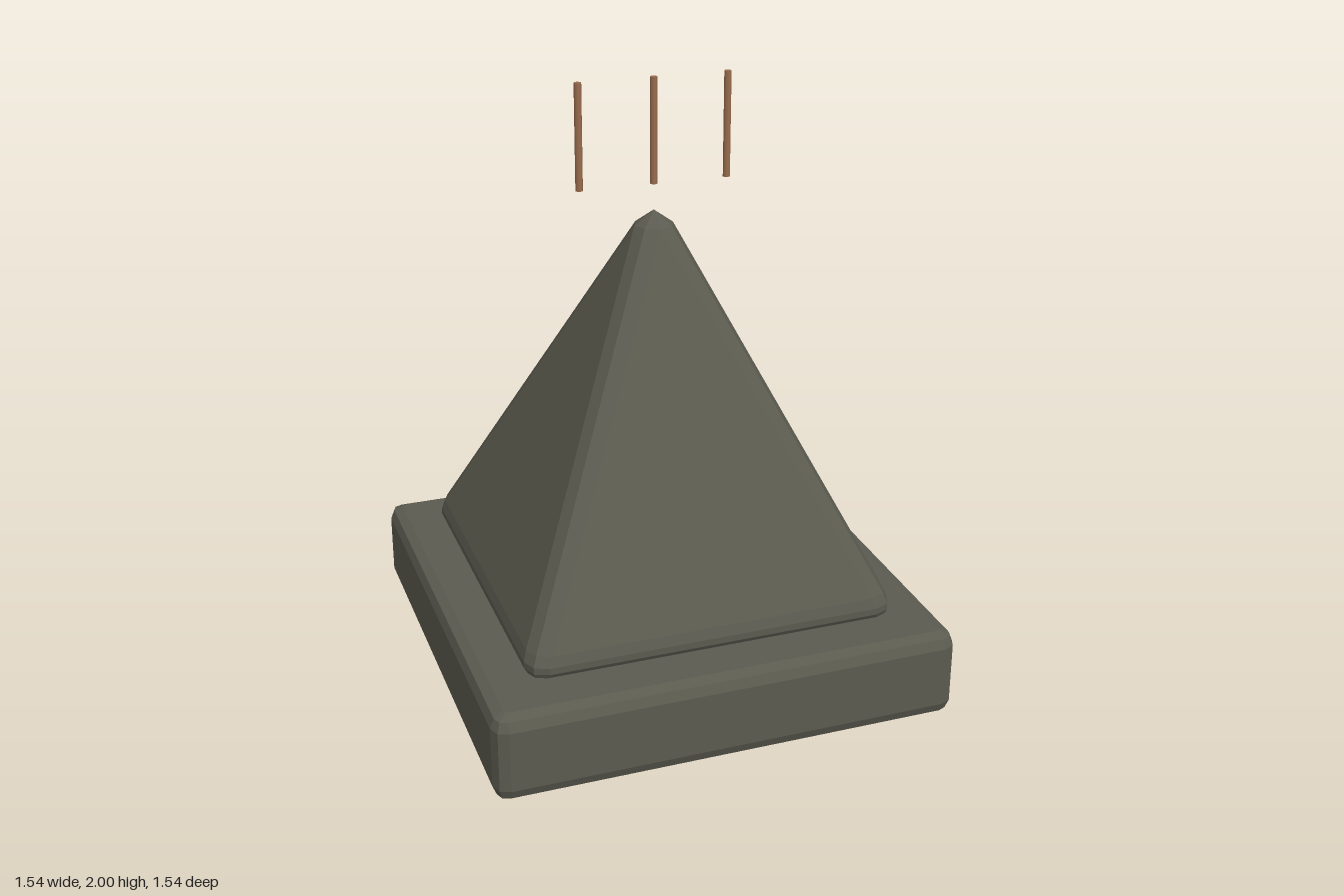
import * as THREE from 'three';

// Rounded square ring: half width h, corner radius r, height y, two facets per corner
function ring([h, r, y]) {
  const points = [];
  for (let corner = 0; corner < 4; corner++) {
    const mid = Math.PI / 4 + corner * Math.PI / 2;
    const cx = Math.sign(Math.cos(mid)) * (h - r);
    const cz = Math.sign(Math.sin(mid)) * (h - r);
    for (let k = -1; k <= 1; k++) {
      const a = mid + k * Math.PI / 4;
      points.push([cx + r * Math.cos(a), y, cz + r * Math.sin(a)]);
    }
  }
  return points;
}

// Skin rings from bottom to top; a ring with h = 0 closes the end
function loft(sections) {
  const rings = sections.map(ring);
  const positions = [];
  for (let s = 0; s < rings.length - 1; s++) {
    const low = rings[s], high = rings[s + 1];
    for (let i = 0; i < low.length; i++) {
      const j = (i + 1) % low.length;
      if (sections[s][0] > 0) positions.push(...low[i], ...high[i], ...low[j]);
      if (sections[s + 1][0] > 0) positions.push(...low[j], ...high[i], ...high[j]);
    }
  }
  const geometry = new THREE.BufferGeometry();
  geometry.setAttribute('position', new THREE.Float32BufferAttribute(positions, 3));
  geometry.computeVertexNormals();
  return geometry;
}

export function createModel() {
  const model = new THREE.Group();
  model.name = 'pyramidMonument';
  const stone = new THREE.MeshStandardMaterial({ color: 0x5c5b50 });
  stone.name = 'darkStone';
  const copper = new THREE.MeshStandardMaterial({ color: 0x996c4e });
  copper.name = 'copper';

  const add = (name, geometry, material) => {
    const mesh = new THREE.Mesh(geometry, material);
    mesh.name = name;
    model.add(mesh);
    return mesh;
  };

  // Square plinth with softened edges
  add('plinth', loft([
    [0, 0, 0], [0.725, 0.02, 0], [0.757, 0.035, 0.014], [0.77, 0.048, 0.046],
    [0.77, 0.048, 0.251], [0.757, 0.035, 0.283], [0.725, 0.02, 0.297], [0, 0, 0.297],
  ]), stone);

  // Pyramid with bevelled foot, ridges and tip
  add('pyramid', loft([
    [0, 0, 0.297], [0.57, 0.03, 0.3], [0.605, 0.05, 0.312], [0.615, 0.065, 0.328],
    [0.615, 0.065, 0.35], [0.604, 0.065, 0.384], [0.065, 0.065, 1.525], [0, 0, 1.572],
  ]), stone);

  // Three slim rods floating above the tip
  ['rightRod', 'centreRod', 'leftRod'].forEach((name, i) => {
    const rod = add(name, new THREE.CylinderGeometry(0.0123, 0.0123, 0.342, 8), copper);
    rod.position.set((i - 1) * 0.246, 1.829, 0);
  });

  return model;
}
